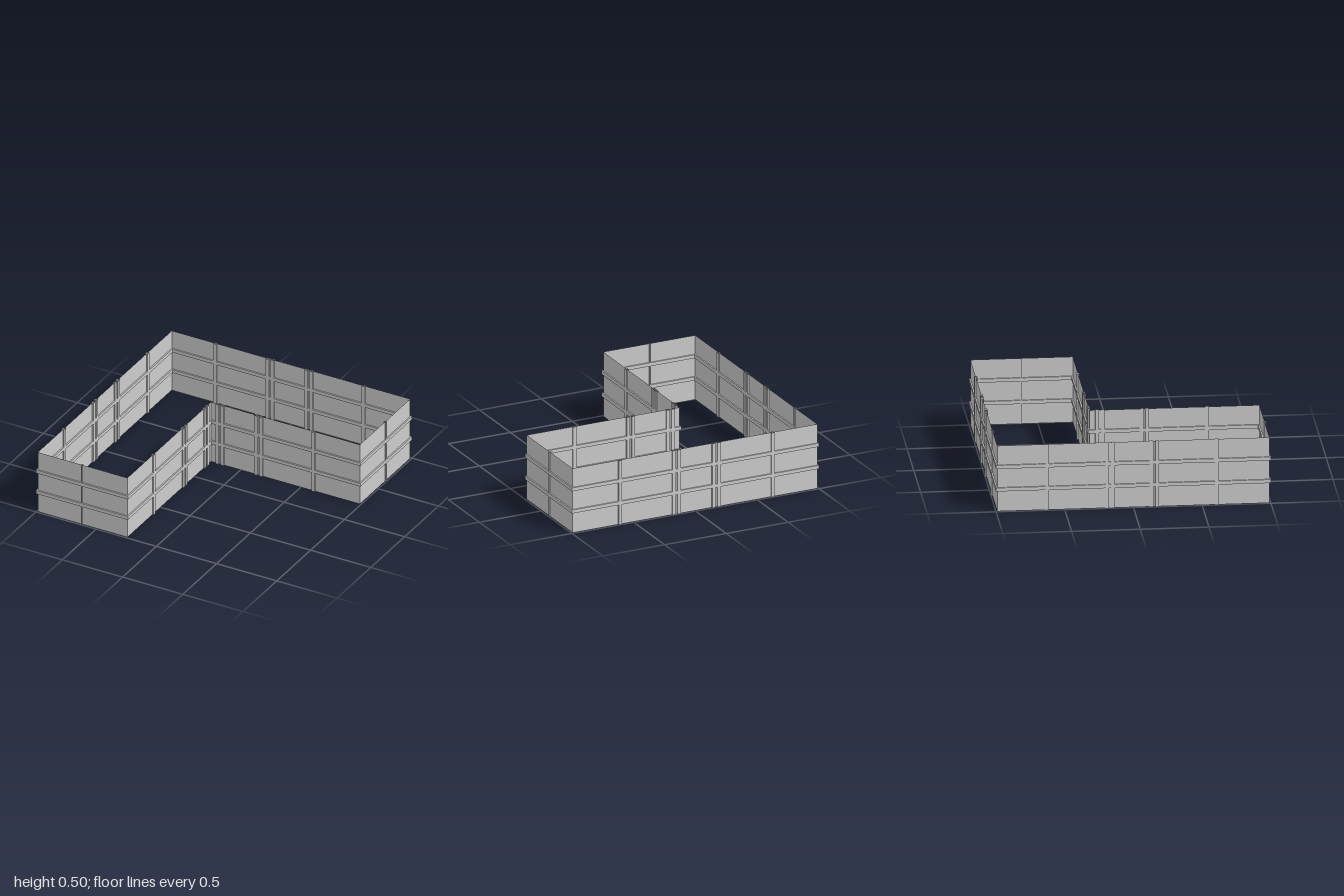
import * as THREE from 'three';

const HEIGHT = 0.5;
const BAR = 0.027;   // visible width of rails and mullions
const DEPTH = 0.021; // depth of rails and mullions through the wall
const OUT = 0.99, INNER = -0.246;
const RAIL_Y = [0.168, 0.34];

const material = new THREE.MeshStandardMaterial({ color: 0xcccccc, side: THREE.DoubleSide });

// Open square tube, upright
function squareTube(width, height, depth) {
  const geometry = new THREE.CylinderGeometry(Math.SQRT1_2, Math.SQRT1_2, 1, 4, 1, true, Math.PI / 4)
    .toNonIndexed();
  geometry.scale(width, height, depth);
  geometry.computeVertexNormals();
  return geometry;
}

function addMesh(parent, name, geometry, x, y) {
  const mesh = new THREE.Mesh(geometry, material);
  mesh.name = name;
  mesh.position.set(x, y, 0);
  parent.add(mesh);
}

// One wall along its local x, from a to b; mullions are [position, width]
function makeWall(name, a, b, mullions, trimA, trimB) {
  const wall = new THREE.Group();
  wall.name = name;

  // Thin panel sheet
  addMesh(wall, 'panel', new THREE.PlaneGeometry(b - a, HEIGHT), (a + b) / 2, HEIGHT / 2);

  // Vertical mullions
  for (const [x, width] of mullions) {
    addMesh(wall, 'mullion', squareTube(width, HEIGHT, DEPTH), x, HEIGHT / 2);
  }

  // Horizontal rails, broken at each mullion
  let start = a + trimA;
  for (const [x, width] of [...mullions, [b + trimB, 0]]) {
    const end = x - width / 2;
    for (const y of RAIL_Y) {
      addMesh(wall, 'rail', new THREE.BoxGeometry(end - start, BAR, DEPTH), (start + end) / 2, y);
    }
    start = x + width / 2;
  }
  return wall;
}

export function createModel() {
  const group = new THREE.Group();
  group.name = 'curtainWall';

  const far = [[-0.627, BAR]];
  const shared = [-0.191, -0.149, 0.131, 0.172, 0.607].map((x) => [x, BAR]);
  const longRun = [...far, ...shared];
  const shortRun = [[-0.622, 0.01]];
  const t = DEPTH / 2;

  // Walls running along x: rails reach over the corners
  const alongX = [
    ['backWall', -OUT, OUT, longRun, -OUT],
    ['innerBackWall', INNER, OUT, shared, INNER],
    ['frontWall', -OUT, INNER, shortRun, OUT],
  ];
  for (const [name, a, b, mullions, z] of alongX) {
    const wall = makeWall(name, a, b, mullions, -t, t);
    wall.position.z = z;
    group.add(wall);
  }

  // Walls running along z: rails butt against the others
  const alongZ = [
    ['leftSideWall', -OUT, OUT, longRun, -OUT],
    ['innerSideWall', INNER, OUT, shared, INNER],
    ['rightSideWall', -OUT, INNER, shortRun, OUT],
  ];
  for (const [name, a, b, mullions, x] of alongZ) {
    const wall = makeWall(name, a, b, mullions, t, -t);
    wall.rotation.y = -Math.PI / 2;
    wall.position.x = x;
    group.add(wall);
  }

  return group;
}
